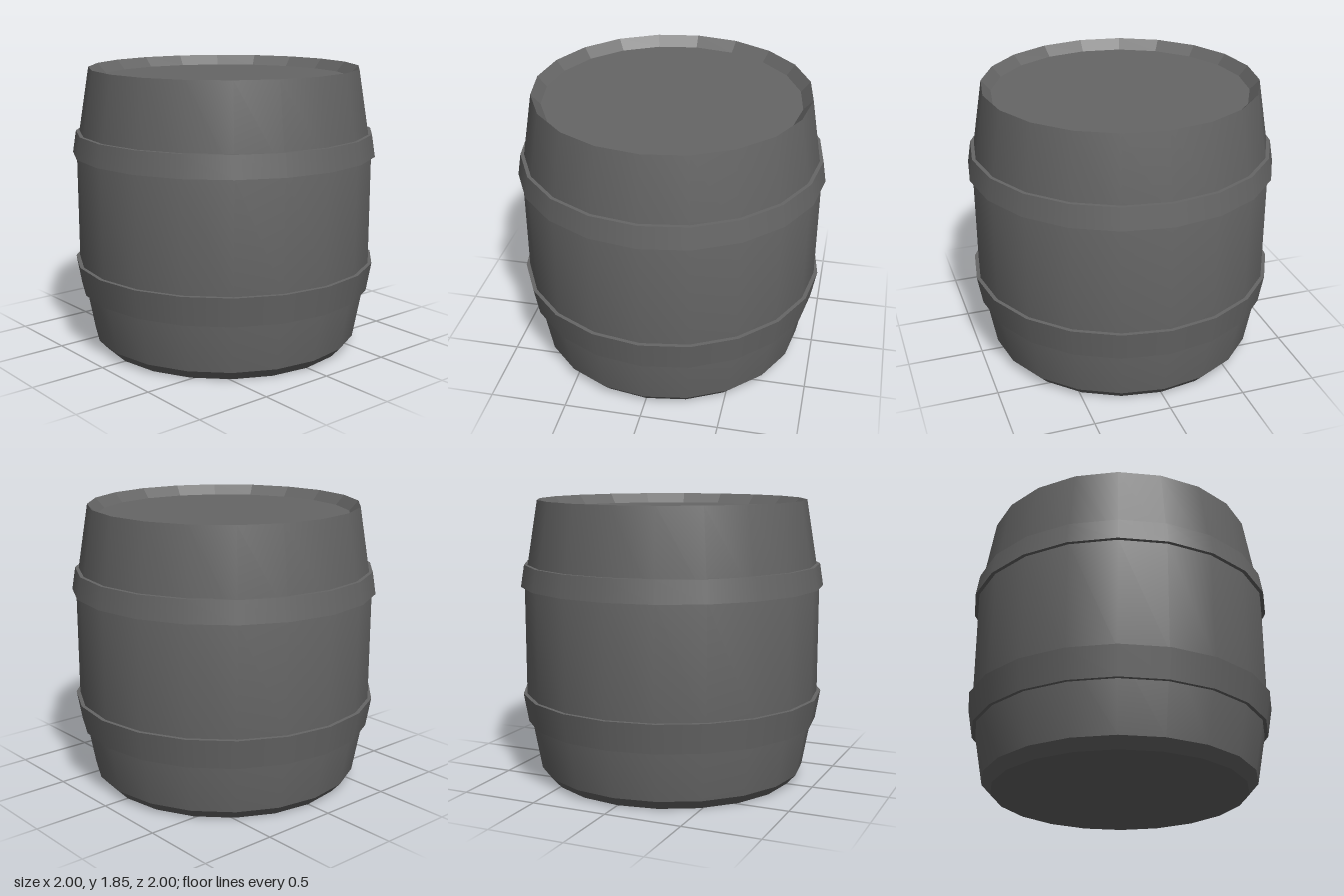
import * as THREE from 'three';

const SIDES = 20;

export function createModel() {
  const barrel = new THREE.Group();
  barrel.name = 'barrel';
  const grey = new THREE.MeshStandardMaterial({ color: 0x666666 });
  grey.name = 'dark grey';

  // Revolved surface through [radius, height] points, listed bottom to top on the outside
  function ring(name, points, parent, faceted = false) {
    let geometry = new THREE.LatheGeometry(points.map(([r, y]) => new THREE.Vector2(r, y)), SIDES);
    if (faceted) {
      geometry = geometry.toNonIndexed();
      geometry.computeVertexNormals();
    }
    const mesh = new THREE.Mesh(geometry, grey);
    mesh.name = name;
    parent.add(mesh);
  }

  // Hoop with a sloped outer face and flat ledges, r0 at the bottom and r1 at the top
  function hoop(name, r0, y0, r1, y1) {
    const group = new THREE.Group();
    group.name = name;
    ring(name + 'Underside', [[0.92, y0], [r0, y0]], group);
    ring(name + 'Face', [[r0, y0], [r1, y1]], group);
    ring(name + 'Ledge', [[r1, y1], [0.92, y1]], group);
    barrel.add(group);
  }

  // Base and its bevel
  ring('base', [[0, 0], [0.825, 0]], barrel);
  ring('baseBevel', [[0.825, 0], [0.885, 0.065]], barrel, true);

  // Bulging wall
  ring('wall', [[0.885, 0.065], [0.975, 0.56], [0.975, 1.3], [0.885, 1.845]], barrel);

  // Recessed lid inside the sloped rim
  ring('rim', [[0.885, 1.845], [0.825, 1.78]], barrel, true);
  ring('lid', [[0.825, 1.78], [0, 1.78]], barrel);

  hoop('lowerHoop', 0.967, 0.387, 1, 0.578);
  hoop('upperHoop', 1, 1.287, 0.977, 1.43);

  return barrel;
}
